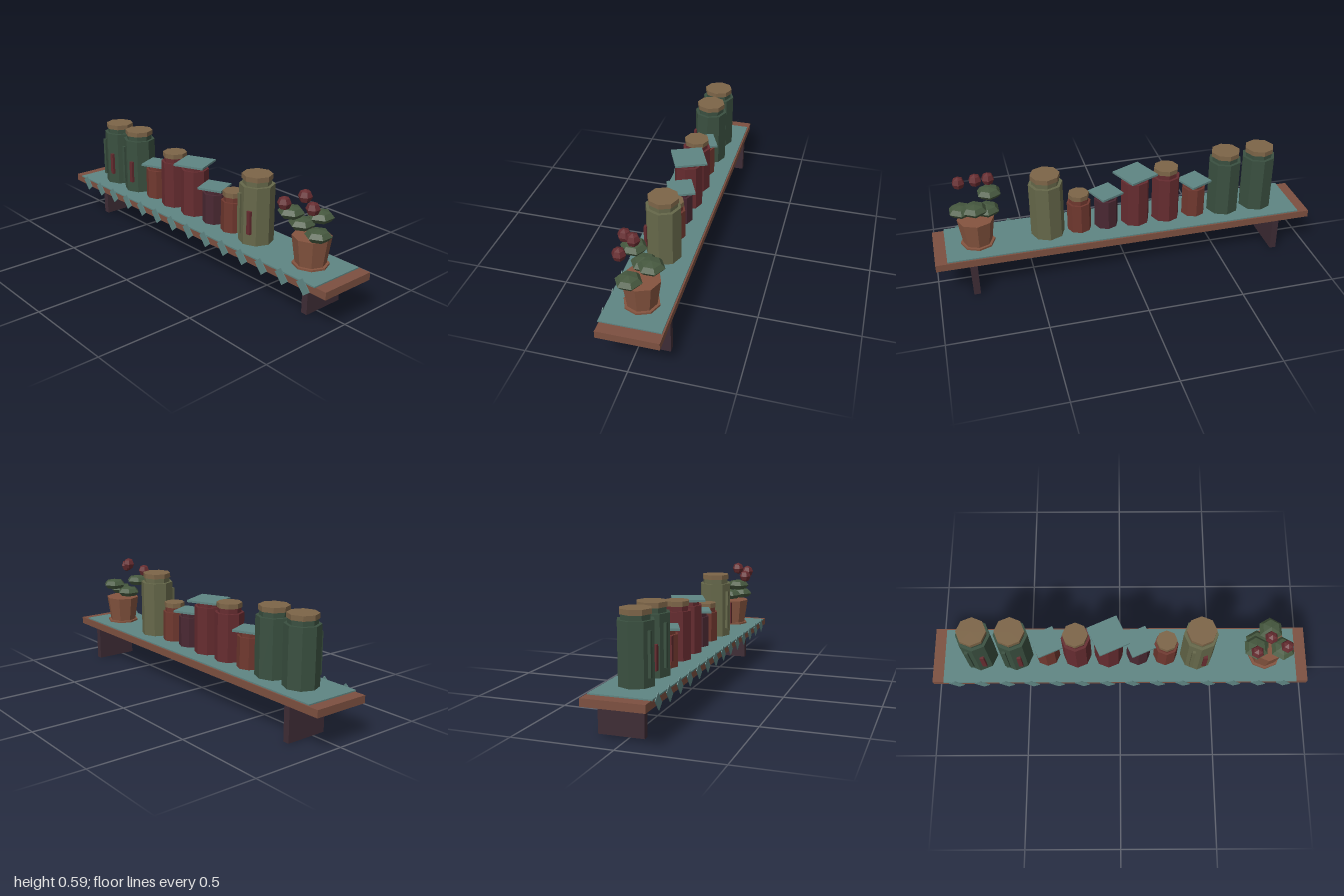
import * as THREE from 'three';

const COLORS = {
  wood: 0x7d5040, bracket: 0x3e2c35, cloth: 0x5f8583, green: 0x3a5040, olive: 0x66684a,
  red: 0x662c30, rust: 0x70382f, plum: 0x4a2832, lid: 0x7d6548, pot: 0x85543f, leaf: 0x46583f,
};
const materials = {};
for (const key in COLORS) {
  materials[key] = new THREE.MeshStandardMaterial({ color: COLORS[key], flatShading: true });
}

const SHELF_TOP = 0.213;

function add(parent, name, geometry, color, x = 0, y = 0, z = 0) {
  const mesh = new THREE.Mesh(geometry, materials[color]);
  mesh.name = name;
  mesh.position.set(x, y, z);
  parent.add(mesh);
  return mesh;
}

function box(parent, name, size, color, x, y, z) {
  return add(parent, name, new THREE.BoxGeometry(...size), color, x, y, z);
}

// Eight-sided drum between two heights
function drum(parent, name, rTop, rBottom, y0, y1, color) {
  return add(parent, name, new THREE.CylinderGeometry(rTop, rBottom, y1 - y0, 8), color, 0, (y0 + y1) / 2, 0);
}

// Jar with a shoulder, neck and either a lid or a square cloth cover
function makeJar({ x, r, top, color, cover = 0, tall = false }) {
  const jar = new THREE.Group();
  jar.name = 'jar';
  jar.position.set(x, 0, -0.002);
  drum(jar, 'jarBody', r, r, SHELF_TOP, top, color);
  drum(jar, 'jarNeck', r * 0.81, r * 0.81, top, top + 0.027, color);
  if (cover) {
    const cloth = box(jar, 'clothCover', [cover, 0.011, cover], 'cloth', 0, top + 0.03, 0);
    cloth.rotation.y = 0.42;
  } else {
    drum(jar, 'jarLid', r * 0.87, r * 0.87, top + 0.025, top + 0.05, 'lid');
  }
  if (tall) {
    box(jar, 'sideStrip', [0.018, 0.21, 0.014], color, -0.036, 0.37, 0.081);
    box(jar, 'label', [0.022, 0.12, 0.014], 'red', 0.032, 0.34, 0.081);
  }
  return jar;
}

function makePlant() {
  const plant = new THREE.Group();
  plant.name = 'pottedPlant';
  plant.position.set(0.773, 0, -0.003);
  drum(plant, 'saucer', 0.088, 0.088, SHELF_TOP, 0.229, 'pot');
  drum(plant, 'pot', 0.094, 0.073, 0.22, 0.365, 'pot');

  const blob = new THREE.SphereGeometry(1, 6, 4).rotateY(Math.PI / 2);
  // Leaves
  for (const [x, y, z] of [[-0.083, 0.47, 0.057], [0.002, 0.446, -0.051], [0.067, 0.397, 0.035], [-0.063, 0.405, 0.003]]) {
    add(plant, 'leaf', blob, 'leaf', x, y, z).scale.set(0.065, 0.031, 0.065);
  }
  // Blossoms
  for (const [x, y, z] of [[-0.087, 0.523, 0.1], [-0.02, 0.56, 0.037], [0.062, 0.534, 0.075]]) {
    add(plant, 'blossom', blob, 'red', x, y, z).scale.setScalar(0.034);
  }
  return plant;
}

export function createModel() {
  const model = new THREE.Group();
  model.name = 'shelfWithJars';

  // Board and brackets
  box(model, 'board', [2, 0.038, 0.302], 'wood', 0, 0.194, -0.004);
  for (const side of [-1, 1]) {
    box(model, 'bracket', [0.034, 0.176, 0.225], 'bracket', side * 0.813, 0.088, -0.042);
  }

  // Runner with a fringe of tilted tabs along the front
  box(model, 'runner', [1.88, 0.007, 0.3], 'cloth', 0, 0.216, 0.003);
  const tabs = 14;
  for (let i = 0; i < tabs; i++) {
    const x = -0.872 + (1.744 * i) / (tabs - 1);
    box(model, 'fringeTab', [0.046, 0.07, 0.004], 'cloth', x, 0.192, 0.153).rotation.z = 0.7;
  }

  // Jars
  const jars = [
    { x: -0.743, r: 0.088, top: 0.517, color: 'green', tall: true },
    { x: -0.553, r: 0.088, top: 0.517, color: 'green', tall: true },
    { x: -0.385, r: 0.064, top: 0.38, color: 'rust', cover: 0.132 },
    { x: -0.227, r: 0.075, top: 0.468, color: 'red' },
    { x: -0.06, r: 0.075, top: 0.468, color: 'red', cover: 0.166 },
    { x: 0.098, r: 0.062, top: 0.38, color: 'plum', cover: 0.132 },
    { x: 0.242, r: 0.063, top: 0.38, color: 'rust' },
    { x: 0.41, r: 0.088, top: 0.517, color: 'olive', tall: true },
  ];
  for (const jar of jars) model.add(makeJar(jar));

  model.add(makePlant());
  return model;
}
